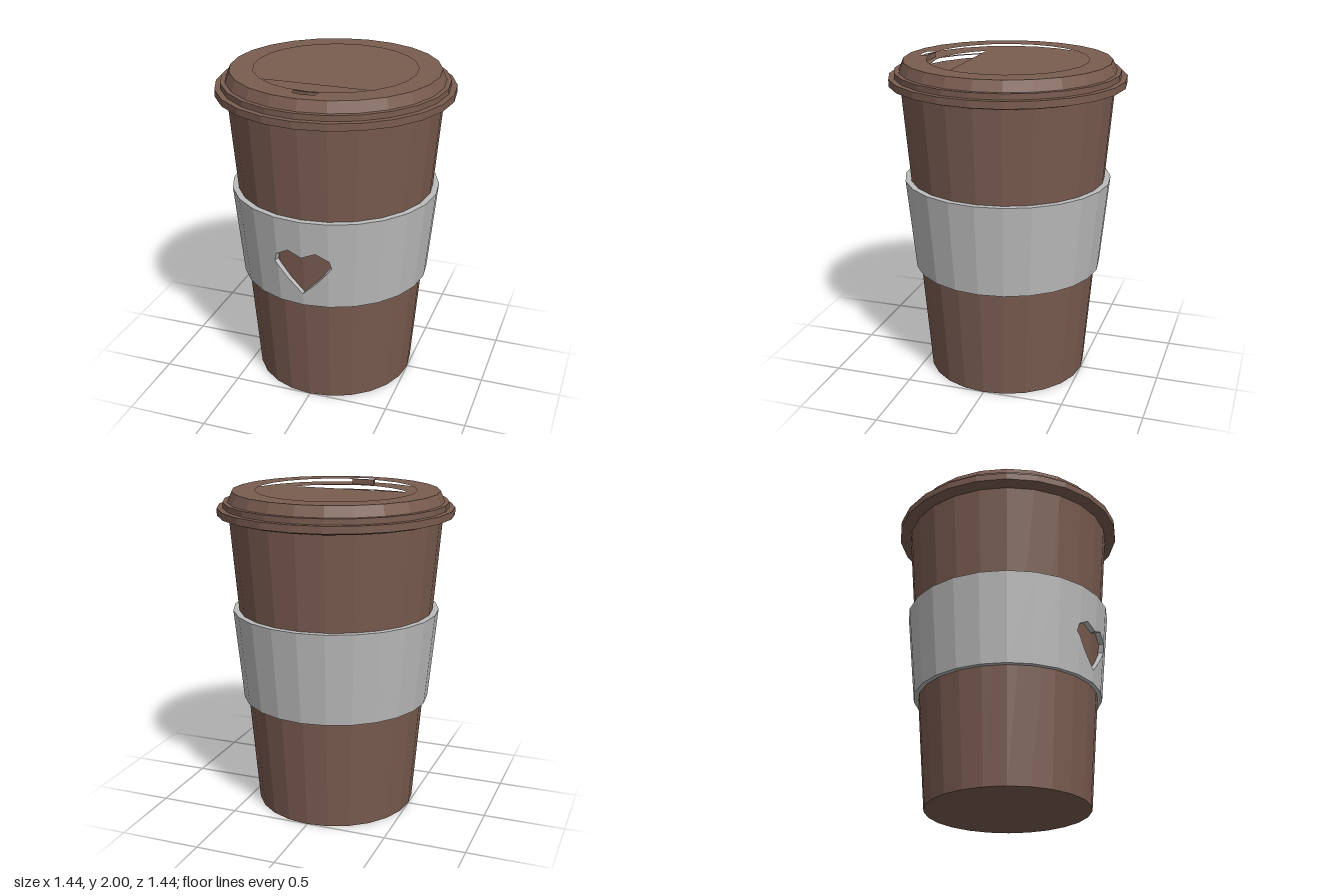
import * as THREE from 'three';
import { mergeGeometries } from 'three/addons/utils/BufferGeometryUtils.js';

const SIDES = 24;
const STEP = (Math.PI * 2) / SIDES;

// Split all corners so that every facet is flat
function faceted(geometry) {
  const flat = geometry.index ? geometry.toNonIndexed() : geometry;
  flat.computeVertexNormals();
  return flat;
}

const ring = (r) => Array.from({ length: SIDES }, (_, i) =>
  new THREE.Vector2(r * Math.sin(i * STEP), r * Math.cos(i * STEP)));
const points = (list) => list.map(([x, y]) => new THREE.Vector2(x, y));

// Horizontal plate between two heights, outlines given as (x, -z)
function plate(outline, holes, bottom, top) {
  const shape = new THREE.Shape(outline);
  shape.holes = holes.map((h) => new THREE.Path(h));
  const g = new THREE.ExtrudeGeometry(shape, { depth: top - bottom, bevelEnabled: false });
  return faceted(g.rotateX(-Math.PI / 2).translate(0, bottom, 0));
}

const cupRadius = (y) => 0.5 + (0.15 * y) / 1.85;
const sleeveRadius = (y) => 0.585 + (0.055 * (y - 0.7)) / 0.57;

// Sleeve panel: outline is (facet number, height), wrapped round the cup
function sleevePanel(outline) {
  const g = new THREE.ExtrudeGeometry(new THREE.Shape(points(outline)),
    { depth: 1, bevelEnabled: false });
  const src = g.attributes.position;
  const base = Math.floor(Math.min(...outline.map((p) => p[0])));
  const out = [];
  for (let i = 0; i < src.count; i += 3) {
    const u = [0, 1, 2].map((k) => src.getX(i + k));
    // leave out the walls on the seams between facets
    const onSeam = (Math.abs(u[0] - base) < 1e-5 || Math.abs(u[0] - base - 1) < 1e-5);
    if (onSeam && u[0] === u[1] && u[1] === u[2] && !isHeartEdge(src, i)) continue;
    for (let k = 0; k < 3; k++) {
      const y = src.getY(i + k);
      const r = THREE.MathUtils.lerp(cupRadius(y), sleeveRadius(y), src.getZ(i + k));
      const a = base * STEP, b = a + STEP, t = u[k] - base;
      out.push(
        r * THREE.MathUtils.lerp(Math.sin(a), Math.sin(b), t), y,
        r * THREE.MathUtils.lerp(Math.cos(a), Math.cos(b), t));
    }
  }
  const wrapped = new THREE.BufferGeometry();
  wrapped.setAttribute('position', new THREE.Float32BufferAttribute(out, 3));
  return faceted(wrapped);
}

// Seam walls never belong to the heart, whose edges all slant
function isHeartEdge(src, i) {
  return src.getX(i) !== src.getX(i + 1);
}

export function createModel() {
  const brown = new THREE.MeshStandardMaterial({ color: 0x7a5c50 });
  brown.name = 'brown';
  const grey = new THREE.MeshStandardMaterial({ color: 0xbcbcbc });
  grey.name = 'light grey';

  const model = new THREE.Group();
  model.name = 'coffeeCup';
  const add = (parent, name, geometry, material) => {
    const mesh = new THREE.Mesh(geometry, material);
    mesh.name = name;
    parent.add(mesh);
  };

  // Tapered cup
  add(model, 'cup', faceted(
    new THREE.CylinderGeometry(0.65, 0.5, 1.85, SIDES).translate(0, 0.925, 0)), brown);

  // Sleeve with a heart cut through its front
  const lo = 0.7, hi = 1.27;
  const panels = [];
  for (let i = 2; i < SIDES - 2; i++) {
    panels.push([[i, lo], [i + 1, lo], [i + 1, hi], [i, hi]]);
  }
  const heartHalf = [
    [[0, lo], [1, lo], [1, 0.947], [0.58, 0.865], [0, 0.78]],
    [[0, 1.03], [0.53, 1.065], [1, 1.024], [1, hi], [0, hi]],
    [[1, lo], [2, lo], [2, hi], [1, hi], [1, 1.024], [1.04, 1.02], [1.13, 0.97], [1, 0.947]],
  ];
  for (const half of heartHalf) {
    panels.push(half, half.map(([u, y]) => [-u, y]));
  }
  add(model, 'sleeve', mergeGeometries(panels.map(sleevePanel)), grey);

  // Lid: stepped rim, raised top, sunken floor and drinking slot
  const lid = new THREE.Group();
  lid.name = 'lid';
  model.add(lid);
  const profile = points([
    [0.63, 1.845], [0.67, 1.845], [0.72, 1.86], [0.72, 1.903], [0.685, 1.903],
    [0.685, 1.937], [0.657, 1.937], [0.63, 2],
  ]);
  add(lid, 'lidRim', faceted(new THREE.LatheGeometry(profile, SIDES)), brown);

  const vent = points([[-0.073, -0.495], [0, -0.502], [0.073, -0.495],
    [0.067, -0.538], [0, -0.55], [-0.067, -0.538]]);
  add(lid, 'lidTop', plate(ring(0.63), [ring(0.49), vent], 1.965, 2), brown);

  const slot = points([[-0.37, -0.265], [0.37, -0.265], [0.325, -0.325], [0.23, -0.4],
    [0.12, -0.447], [0, -0.463], [-0.12, -0.447], [-0.23, -0.4], [-0.325, -0.325]]);
  add(lid, 'lidFloor', plate(ring(0.62), [slot], 1.895, 1.965), brown);
  add(lid, 'slotFloor', plate(ring(0.62), [], 1.885, 1.895), brown);

  return model;
}
